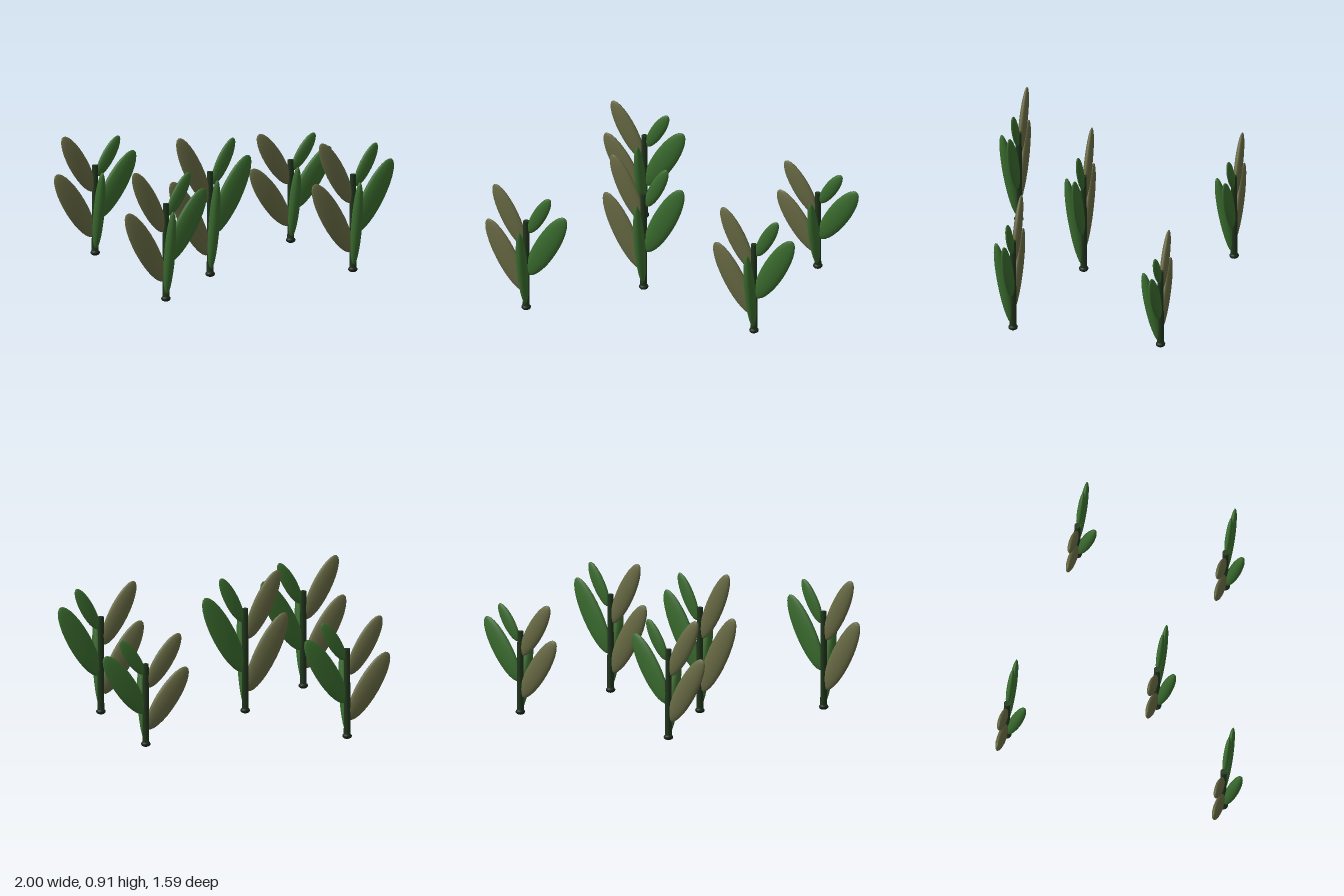
import * as THREE from 'three';

const mat = (color) => new THREE.MeshStandardMaterial({ color, roughness: 0.9 });

export function createModel() {
  const green = mat(0x3a6b2e), olive = mat(0x686a44), bark = mat(0x20351c), dark = mat(0x1b261a);
  const ball = new THREE.SphereGeometry(1, 20, 14);
  const stemGeo = new THREE.CylinderGeometry(0.019, 0.022, 0.61, 12);

  // leaf: name, material, centre, half sizes, tilt about x and z
  const leaves = [
    ['lowerRightLeaf', olive, [-0.141, 0.36, 0], [0.075, 0.26, 0.026], 0, 0.51],
    ['lowerLeftLeaf', green, [0.141, 0.48, 0], [0.075, 0.26, 0.026], 0, -0.51],
    ['upperRightLeaf', olive, [-0.117, 0.647, 0], [0.064, 0.223, 0.024], 0, 0.48],
    ['upperLeftLeaf', green, [0.09, 0.685, 0], [0.045, 0.152, 0.02], 0, -0.5],
    ['frontLeaf', green, [0, 0.322, 0.06], [0.034, 0.283, 0.04], 0.183, 0],
  ];

  function makePlant(x, z, stretch) {
    const plant = new THREE.Group();
    plant.name = 'plant';
    const add = (name, geo, material, parent) => {
      const m = new THREE.Mesh(geo, material);
      m.name = name;
      parent.add(m);
      return m;
    };
    // stem and leaves share the plant's height stretch
    const shoot = new THREE.Group();
    shoot.name = 'shoot';
    shoot.scale.y = stretch;
    add('stem', stemGeo, bark, shoot).position.y = 0.325;
    for (const [name, material, centre, size, rx, rz] of leaves) {
      const leaf = add(name, ball, material, shoot);
      leaf.position.set(...centre);
      leaf.scale.set(...size);
      leaf.rotation.set(rx, 0, rz);
    }
    // flattened root collar
    const collar = add('rootCollar', ball, dark, plant);
    collar.position.y = 0.02;
    collar.scale.set(0.03, 0.019, 0.03);
    plant.add(shoot);
    plant.position.set(x, 0, z);
    return plant;
  }

  const group = new THREE.Group();
  group.name = 'plants';
  // x, z and height stretch of each plant
  const spots = [
    [-0.715, 0.668, 1], [0.715, 0.35, 1], [-0.16, 0.11, 1.075],
    [0.715, -0.605, 0.85], [-0.56, -0.765, 0.925],
  ];
  for (const spot of spots) group.add(makePlant(...spot));
  return group;
}
